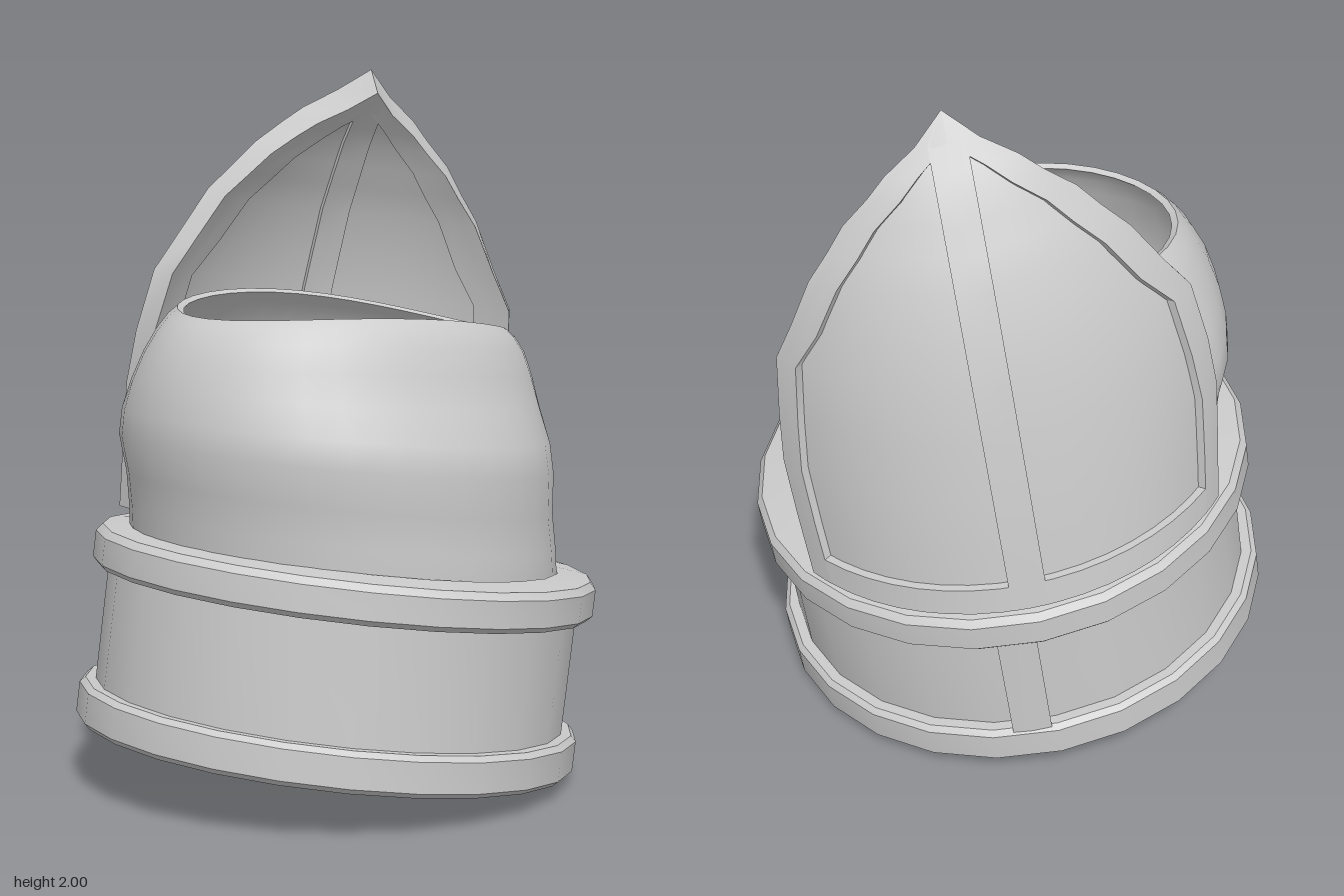
import * as THREE from 'three';
import { toCreasedNormals } from 'three/addons/utils/BufferGeometryUtils.js';

const material = new THREE.MeshStandardMaterial({ color: 0xcccccc, side: THREE.DoubleSide });
const DEG = Math.PI / 180;
const CENTRE = 16.5 * DEG; // direction of the guard's rib, measured from -z towards +x

// Piecewise linear lookup in [[h, value], ...]
function lookup(keys, h) {
  for (let i = 1; i < keys.length; i++) {
    const [h0, v0] = keys[i - 1], [h1, v1] = keys[i];
    if (h <= h1) return v0 + (v1 - v0) * (h - h0) / (h1 - h0);
  }
  return keys[keys.length - 1][1];
}

// Skin a stack of closed rings, optionally capping both ends
function loft(rings, capped, crease) {
  const n = rings[0].length, pos = [], idx = [];
  rings.forEach(r => r.forEach(p => pos.push(...p)));
  for (let i = 0; i < rings.length - 1; i++) {
    for (let j = 0; j < n; j++) {
      const k = (j + 1) % n;
      const a = i * n + j, b = i * n + k, c = a + n, d = b + n;
      idx.push(a, c, b, b, c, d);
    }
  }
  if (capped) {
    const t = (rings.length - 1) * n;
    for (let j = 0; j < n / 2 - 1; j++) {
      const m = n - 1 - j;
      idx.push(j, j + 1, m, j + 1, m - 1, m);
      idx.push(t + j, t + m, t + j + 1, t + j + 1, t + m, t + m - 1);
    }
  }
  const g = new THREE.BufferGeometry();
  g.setAttribute('position', new THREE.Float32BufferAttribute(pos, 3));
  g.setIndex(idx);
  return toCreasedNormals(g, crease);
}

// Curved plate around the axis. outer(h) and inner(h) give [from, to] angles;
// rOut and rIn give the radius at (h, angle); drop(h) lowers the inner face.
function plate(heights, outer, inner, rOut, rIn, drop, steps) {
  const rings = heights.map(h => {
    const ring = [];
    const point = (s, [lo, hi], radius, y) => {
      const a = lo + (hi - lo) * s / steps, r = radius(h, a);
      ring.push([r * Math.sin(CENTRE + a), y, -r * Math.cos(CENTRE + a)]);
    };
    for (let s = 0; s <= steps; s++) point(s, outer(h), rOut, h);
    for (let s = steps; s >= 0; s--) point(s, inner(h), rIn, h - drop(h));
    return ring;
  });
  return loft(rings, true, 0.5);
}

function add(parent, name, geometry) {
  const mesh = new THREE.Mesh(geometry, material);
  mesh.name = name;
  parent.add(mesh);
}

// Cuff: two bevelled bands, a wall between them and one upright bar at the back
function buildCuff(parent) {
  const profile = [
    [0.60, 0], [0.695, 0], [0.71, 0.015], [0.71, 0.1], [0.695, 0.115], [0.666, 0.115],
    [0.666, 0.445], [0.698, 0.445], [0.712, 0.46], [0.712, 0.535], [0.695, 0.555],
    [0.60, 0.567], [0.60, 0]
  ].map(p => new THREE.Vector2(...p));
  const ring = new THREE.LatheGeometry(profile, 24).scale(1.01, 1, 1); // slightly oval
  add(parent, 'cuff', toCreasedNormals(ring, 0.5));
  const span = () => [0, 9 * DEG];
  add(parent, 'cuffBar', plate([0.1, 0.46], span, span, () => 0.7, () => 0.63, () => 0, 2));
}

// Pointed guard: recessed panels inside a raised frame with a central rib
function buildGuard(parent) {
  const radiusKeys = [[0.58, 0.7], [0.9, 0.665], [1.28, 0.602], [1.53, 0.525], [1.75, 0.41], [1.93, 0.28]];
  const angleKeys = [[0.58, 55], [0.95, 60], [1.28, 60], [1.39, 55.5], [1.53, 50], [1.68, 41], [1.8, 27], [1.93, 0]];
  const heights = [0.58, 0.66, 0.78, 0.95, 1.1, 1.28, 1.39, 1.53, 1.61, 1.68, 1.75, 1.8, 1.86, 1.93];
  const radius = h => lookup(radiusKeys, h);
  const half = h => lookup(angleKeys, h) * DEG;
  const drop = h => 0.07 * ((h - 0.58) / 1.35) ** 4;
  // The shell opens out towards its side edges above the base, more on the -x side
  const surface = o => (h, a) =>
    radius(h) * (1 + (a < 0 ? 0.085 : 0.035) * Math.min(1, (h - 0.58) * 2) * a * a) - o;
  const guard = new THREE.Group();
  guard.name = 'guard';
  parent.add(guard);

  // Slanted side faces: the inner edge reaches further round than the outer
  const innerHalf = h => half(h) * 1.1;
  const rim = h => Math.max(0, half(h) - (h > 1.3 ? 0.09 : 0.075) / radius(h));
  const rib = h => Math.min(half(h), 0.05 / radius(h));
  const panel = h => (half(h) + rim(h)) / 2;
  const both = f => h => [-f(h), f(h)];
  const FRAME_OUT = surface(0), FRAME_IN = surface(0.08);

  add(guard, 'guardPanels', plate([0.6, ...heights.slice(1, -1)], both(panel), both(panel),
    surface(0.022), surface(0.062), drop, 16));
  add(guard, 'guardRimLeft', plate(heights, h => [rim(h), half(h)], h => [rim(h), innerHalf(h)], FRAME_OUT, FRAME_IN, drop, 3));
  add(guard, 'guardRimRight', plate(heights, h => [-half(h), -rim(h)], h => [-innerHalf(h), -rim(h)], FRAME_OUT, FRAME_IN, drop, 3));
  add(guard, 'guardRib', plate(heights, both(rib), both(rib), FRAME_OUT, FRAME_IN, drop, 2));
  add(guard, 'guardBase', plate([0.58, 0.66], both(rim), both(rim), FRAME_OUT, FRAME_IN, drop, 16));
}

// Rounded open sleeve: elliptical rings [y, slope, cx, rx, cz, rz]
function buildSleeve(parent) {
  const rows = [
    [0.27, -0.137, -0.015, 0.54, 0, 0.54],
    [0.42, -0.137, 0.01, 0.58, 0, 0.57],
    [0.52, -0.137, 0.03, 0.605, 0, 0.587],
    [0.62, -0.137, 0.03, 0.615, 0, 0.595],
    [0.72, -0.137, 0.025, 0.617, 0.003, 0.585],
    [0.82, -0.13, 0.012, 0.618, 0.008, 0.575],
    [0.93, -0.12, 0, 0.628, 0.01, 0.585],
    [1.01, -0.11, 0, 0.622, 0.01, 0.567],
    [1.10, -0.10, 0, 0.607, 0.012, 0.51],
    [1.19, -0.09, 0.002, 0.583, 0.02, 0.465],
    [1.26, -0.085, 0.004, 0.555, 0.03, 0.43],
    [1.305, -0.085, 0.004, 0.527, 0.035, 0.395],
    [1.33, -0.085, 0.002, 0.502, 0.038, 0.365]
  ];
  const inner = rows.slice().reverse().map(([y, s, cx, rx, cz, rz]) => [y - 0.008, s, cx, rx - 0.018, cz, rz - 0.015]);
  const n = 36;
  const rings = [...rows, ...inner, rows[0]].map(([y, slope, cx, rx, cz, rz]) => {
    const ring = [];
    for (let j = 0; j < n; j++) {
      const a = j / n * Math.PI * 2;
      const x = cx + rx * Math.sin(a), z = cz - rz * Math.cos(a);
      // Wavy mouth, higher at the front and back
      const lift = Math.max(0, y - 1.15) * (0.14 * Math.cos(2 * a) + 0.08 * Math.cos(a));
      ring.push([x, y + slope * x + lift, z]);
    }
    return ring;
  });
  add(parent, 'sleeve', loft(rings, false, 1.0));
}

export function createModel() {
  const model = new THREE.Group();
  model.name = 'armguard';

  // The cuff and guard share one tilted axis
  const armour = new THREE.Group();
  armour.name = 'armour';
  armour.position.set(-0.04, 0.096, 0);
  armour.rotation.set(0.013, 0, -0.136);
  model.add(armour);

  buildCuff(armour);
  buildGuard(armour);
  buildSleeve(model);
  return model;
}
